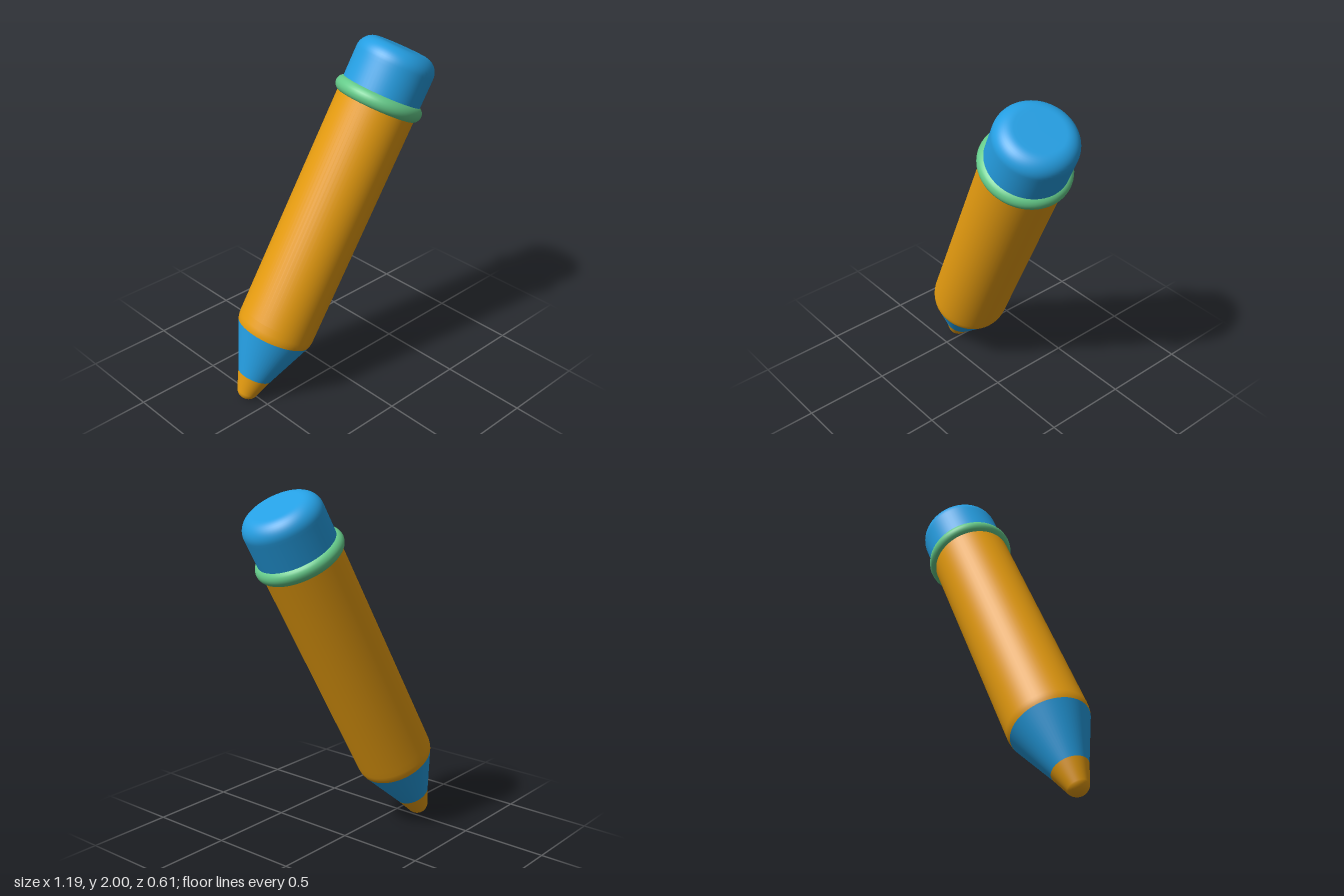
import * as THREE from 'three';

const mat = (name, color) => new THREE.MeshStandardMaterial({ name, color });

// points along a circular arc in (radius, height), angles measured from the radial direction
function arc(cx, cy, r, a0, a1, n) {
  const pts = [];
  for (let i = 0; i <= n; i++) {
    const a = a0 + (a1 - a0) * i / n;
    pts.push([Math.max(0, cx + r * Math.cos(a)), cy + r * Math.sin(a)]);
  }
  return pts;
}

export function createModel() {
  const orange = mat('orange', 0xe69c10);
  const blue = mat('blue', 0x259fe3);
  const green = mat('green', 0x65cb8a);

  const pencil = new THREE.Group();
  pencil.name = 'pencil';

  const add = (name, geometry, material) => {
    const mesh = new THREE.Mesh(geometry, material);
    mesh.name = name;
    pencil.add(mesh);
    return mesh;
  };
  const lathe = (name, pts, material) =>
    add(name, new THREE.LatheGeometry(pts.map(p => new THREE.Vector2(...p)), 64), material);

  const R = 0.222;          // shaft radius
  const slope = 0.388;      // half angle of the sharpened cone

  // rounded writing tip
  lathe('leadTip', [...arc(0, -1.058, 0.064, -Math.PI / 2, -slope, 10), [0.1, -0.967]], orange);

  // sharpened cone
  lathe('sharpenedCone', [[0.1, -0.967], [0.215, -0.684]], blue);

  // shaft with a softened lower edge
  lathe('shaft', [[0.215, -0.684], [0.2185, -0.672], [0.221, -0.657], [R, -0.64], [R, -0.6], [R, 0.76]], orange);

  // ferrule ring
  const ring = add('ferruleRing', new THREE.TorusGeometry(0.203, 0.045, 24, 64), green);
  ring.rotation.x = Math.PI / 2;
  ring.position.y = 0.751;

  // eraser with a rounded top edge
  const f = 0.09;
  lathe('eraser', [[R, 0.74], [R, 0.94], ...arc(R - f, 0.958, f, 0, Math.PI / 2, 12), [0.11, 1.048], [0, 1.048]], blue);

  // lean the whole pencil
  const axis = new THREE.Vector3(0.513, 1, 0.118).normalize();
  pencil.quaternion.setFromUnitVectors(new THREE.Vector3(0, 1, 0), axis);
  pencil.position.set(-0.053, 1, -0.013);

  const model = new THREE.Group();
  model.name = 'leaningPencil';
  model.add(pencil);
  return model;
}
